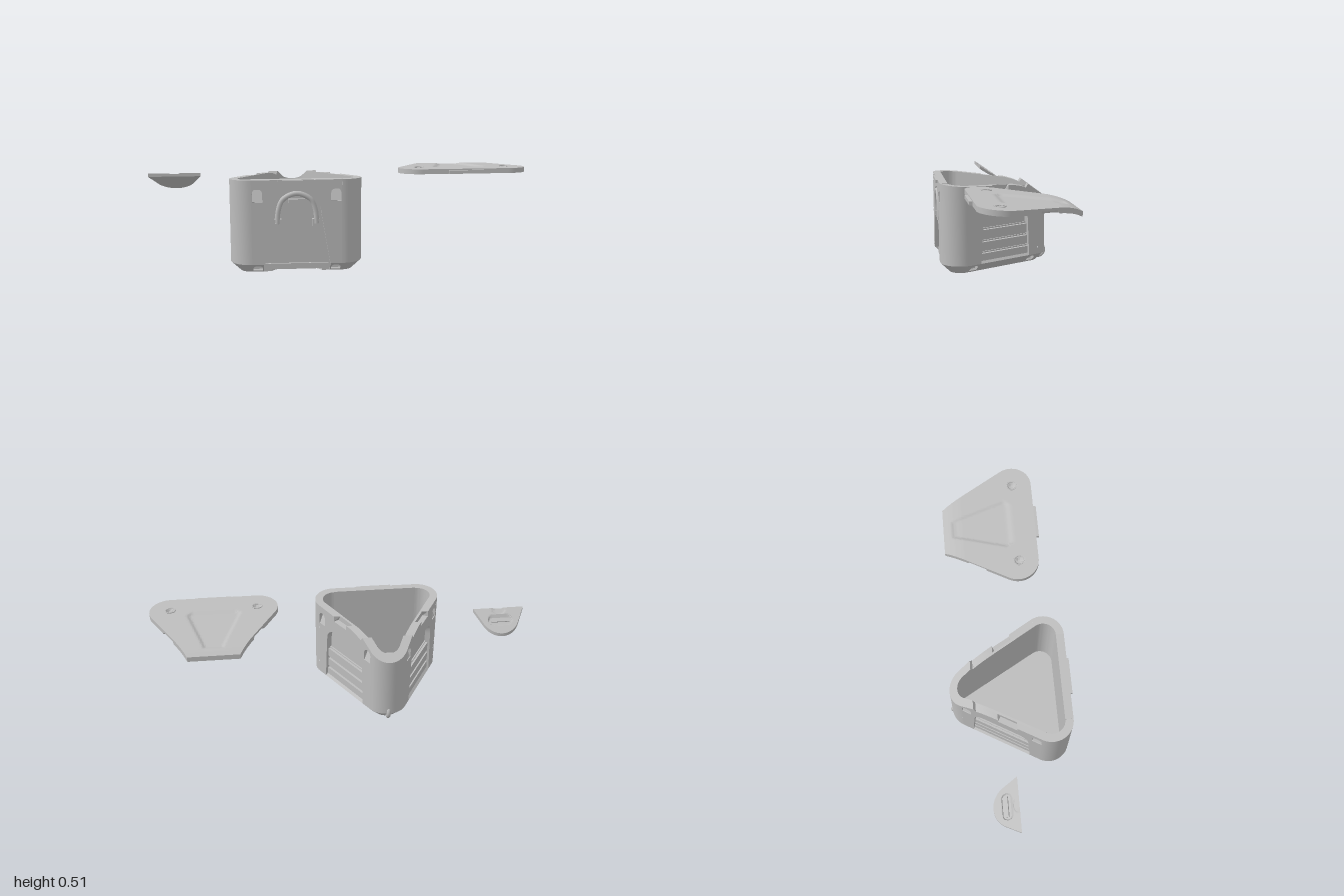
import * as THREE from 'three';
import { toCreasedNormals } from 'three/addons/utils/BufferGeometryUtils.js';

const grey = new THREE.MeshStandardMaterial({ color: 0xbdbdbd });
grey.name = 'light grey';

const R = 0.2427, CZ = 0.0673, HALF = 0.23, RAD = 0.11; // rounded triangle
const T120 = Math.PI * 2 / 3;

function add(parent, name, geo, x = 0, y = 0, z = 0) {
  const m = new THREE.Mesh(geo, grey);
  m.name = name;
  m.position.set(x, y, z);
  parent.add(m);
  return m;
}
const shapeOf = pts => new THREE.Shape(pts.map(p => new THREE.Vector2(p[0], p[1])));

// piecewise linear lookup, keys descending
function lerpTable(table, k) {
  for (let i = 0; i < table.length - 1; i++) {
    const [k0, v0] = table[i], [k1, v1] = table[i + 1];
    if (k >= k1 || i === table.length - 2) return v0 + (v1 - v0) * (k - k0) / (k1 - k0);
  }
}
// rim height along z: gentle slope, curved dip, then the steep rear seat
const RIM = [[0.31, 0.485], [-0.1, 0.46], [-0.15, 0.448], [-0.178, 0.436], [-0.19, 0.456], [-0.308, 0.37]];
const rimY = z => lerpTable(RIM, z);

function archHole(x, y0, y1, r) {
  const p = new THREE.Path();
  p.moveTo(x - r, y0);
  p.lineTo(x + r, y0);
  p.lineTo(x + r, y1 - r);
  p.absarc(x, y1 - r, r, 0, Math.PI, false);
  p.lineTo(x - r, y0);
  return p;
}

// flat wall layer between depths d0 and d1, with its rim kept level across the wall
function wallLayer(shape, d0, d1, a) {
  const g = new THREE.ExtrudeGeometry(shape, { depth: d1 - d0, bevelEnabled: false, curveSegments: 12 });
  g.translate(0, 0, R - d1);
  const p = g.attributes.position;
  for (let i = 0; i < p.count; i++) {
    const s = p.getX(i), y = p.getY(i), d = R - p.getZ(i);
    const zOuter = CZ + R * Math.cos(a) - s * Math.sin(a);
    if (a === 0 || y < rimY(zOuter) - 0.004) continue;
    if (Math.abs(s) < 0.2299) p.setX(i, s - d * Math.cos(a) / Math.sin(a));
    else p.setY(i, rimY(zOuter - d * Math.cos(a)));
  }
  return toCreasedNormals(g, 0.5);
}

function makeWall(a) {
  const wall = new THREE.Group();
  wall.name = a === 0 ? 'frontWall' : a > 0 ? 'leftWall' : 'rightWall';
  wall.rotation.y = a;
  const side = Math.sign(a);
  const toS = z => -side * (z + 0.054) / 0.866;

  // rim lines, with and without the finger notch
  let top, plainTop;
  if (side === 0) top = plainTop = [[-HALF, 0.485], [HALF, 0.485]];
  else {
    const pt = z => [toS(z), rimY(z)];
    const front = [[-side * HALF, rimY(0.145)]];
    const rear = [-0.1, -0.15, -0.178, -0.19].map(pt).concat([[side * HALF, rimY(-0.253)]]);
    const notch = [pt(0.025), [toS(0.025), 0.437], [toS(-0.07), 0.437], pt(-0.07)];
    top = front.concat(notch, rear);
    plainTop = front.concat(rear);
    if (side < 0) { top.reverse(); plainTop.reverse(); }
  }

  // recessed panel opening
  const half = [[0.17, 0.048]];
  if (side === 0) for (let i = 0; i <= 8; i++) {
    const t = i / 8 * Math.PI / 2;
    half.push([0.125 * Math.cos(t), 0.31 + 0.125 * Math.sin(t)]);
  } else half.push([0.156, 0.29], [0.15, 0.325], [0.135, 0.348], [0.112, 0.361], [0.085, 0.365]);
  const opening = half.concat(half.slice(0, side === 0 ? -1 : undefined).reverse().map(p => [-p[0], p[1]]));
  const outer = shapeOf([...top, [HALF, 0.048], ...opening, [-HALF, 0.048]]);

  // arched sockets with sloping floors
  for (const e of [-1, 1]) {
    const drop = side === 0 ? 0 : e === side ? 0.038 : 0.005;
    outer.holes.push(archHole(e * 0.2, 0.373 - drop, 0.441 - drop, 0.026));
    const ramp = add(wall, 'socketRamp', new THREE.BoxGeometry(0.051, 0.062, 0.004), e * 0.2, 0.402 - drop, R - 0.018);
    ramp.rotation.x = -0.4;
  }
  add(wall, 'outerWall', wallLayer(outer, 0, 0.03, a), 0, 0, 0);
  const low = side === 0 ? 0.02 : 0.04;
  add(wall, 'innerWall', wallLayer(shapeOf([...plainTop, [HALF, low], [-HALF, low]]), 0.03, 0.042, a));

  // chamfered foot with small arched holes
  const spans = side === 0 ? [[-HALF, -0.17], [0.17, HALF]] : [[-HALF, HALF]];
  for (const [s0, s1] of spans) {
    const foot = shapeOf([[s0, 0], [s1, 0], [s1, 0.0693], [s0, 0.0693]]);
    for (const s of [-0.2, 0.2]) if (s > s0 && s < s1) foot.holes.push(archHole(s, 0.012, 0.056, 0.024));
    const g = new THREE.ExtrudeGeometry(foot, { depth: 0.02, bevelEnabled: false });
    g.translate(0, 0, -0.02);
    add(wall, 'footChamfer', g, 0, 0, R - 0.05).rotation.x = Math.atan2(0.05, 0.048);
  }

  if (side !== 0) {
    // stepped slats
    for (const [y0, y1, w] of [[0.042, 0.1, 0.167], [0.117, 0.163, 0.163], [0.18, 0.23, 0.159]]) {
      add(wall, 'slat', new THREE.BoxGeometry(w * 2, y1 - y0, 0.018), 0, (y0 + y1) / 2, R - 0.021);
      add(wall, 'slatLip', new THREE.BoxGeometry(w * 2, 0.006, 0.008), 0, y1 + 0.006, R - 0.026);
    }
  } else {
    // arched handle, its feet, clasp and rim tab
    const pts = [[-0.1, 0.26], [-0.094, 0.33], [-0.07, 0.385], [0, 0.415], [0.07, 0.385], [0.094, 0.33], [0.1, 0.26]];
    const curve = new THREE.CatmullRomCurve3(pts.map(p => new THREE.Vector3(p[0], p[1], R - 0.006)));
    add(wall, 'handle', new THREE.TubeGeometry(curve, 40, 0.013, 10, false));
    for (const e of [-1, 1]) add(wall, 'handleFoot', new THREE.BoxGeometry(0.036, 0.04, 0.03), e * 0.096, 0.262, R - 0.015);
    add(wall, 'clasp', new THREE.BoxGeometry(0.085, 0.028, 0.022), 0, 0.37, R - 0.02);
    add(wall, 'bottomLedge', new THREE.BoxGeometry(0.325, 0.03, 0.014), 0, 0.033, R - 0.026);
    add(wall, 'rimTab', new THREE.BoxGeometry(0.19, 0.018, 0.012), 0, 0.475, R + 0.004);
  }
  return wall;
}

// rounded triangle in plan, optionally with a shallow arch cut in the front edge
function planSlab(r, y0, y1, arch) {
  const s = new THREE.Shape();
  for (let k = 0; k < 3; k++) {
    const c = Math.PI / 3 + k * T120;
    const cx = 0.2656 * Math.sin(c), cz = 0.2656 * Math.cos(c);
    for (let i = 0; i <= 10; i++) {
      const t = k * T120 + i / 10 * T120;
      const x = cx + r * Math.sin(t), y = -(cz + r * Math.cos(t));
      k + i === 0 ? s.moveTo(x, y) : s.lineTo(x, y);
    }
  }
  if (arch) {
    const y = -(R - RAD + r);
    s.lineTo(-0.13, y);
    s.bezierCurveTo(-0.09, y + 0.1, 0.09, y + 0.1, 0.13, y);
  }
  const g = new THREE.ExtrudeGeometry(s, { depth: y1 - y0, bevelEnabled: false });
  g.rotateX(-Math.PI / 2);
  return g.translate(0, y0, 0);
}

function makeBody() {
  const body = new THREE.Group();
  body.name = 'body';
  body.position.set(-0.23, 0, CZ);
  for (const a of [0, T120, -T120]) body.add(makeWall(a));
  // rounded corners
  for (let k = 0; k < 3; k++) {
    const c = Math.PI / 3 + k * T120;
    const profile = [[0.06, 0], [RAD, 0.048], [RAD, 0.5], [0.068, 0.5], [0.068, 0.03]].map(p => new THREE.Vector2(...p));
    const g = new THREE.LatheGeometry(profile, 20, k * T120, T120);
    g.translate(0.2656 * Math.sin(c), 0, 0.2656 * Math.cos(c));
    const p = g.attributes.position;
    for (let i = 0; i < p.count; i++) if (p.getY(i) > 0.4) p.setY(i, rimY(p.getZ(i) + CZ));
    add(body, 'corner', toCreasedNormals(g, 0.5));
  }
  add(body, 'base', planSlab(0.06, 0, 0.046, true));
  add(body, 'floor', planSlab(0.072, 0.045, 0.06, false));
  // loop at the rear foot
  add(body, 'rearLoop', new THREE.TorusGeometry(0.034, 0.011, 12, 32), 0, 0.05, -0.274 - CZ).rotation.y = Math.PI / 2;
  return body;
}

// slab from rows of [z, half width]; dent(x, z) lowers the top, lift(x, z, w) raises the underside
function loft(rows, top, thick, dent, lift, nx) {
  const n = rows.length - 1;
  const g = new THREE.BoxGeometry(1, 1, 1, nx, 1, n);
  const p = g.attributes.position;
  for (let i = 0; i < p.count; i++) {
    const [z, w] = rows[Math.round((p.getZ(i) + 0.5) * n)];
    const x = p.getX(i) * 2 * w;
    const y = p.getY(i) > 0 ? top(z) - dent(x, z) : top(z) - thick + lift(x, z, w);
    p.setXYZ(i, x, y, z);
  }
  return toCreasedNormals(g, 0.45);
}
const ramp = THREE.MathUtils.smoothstep;

function makeLid() {
  const lid = new THREE.Group();
  lid.name = 'lid';
  lid.position.x = 0.66;
  const rows = [];
  for (let i = 0; i <= 20; i++) {
    const t = i / 20 * T120;
    rows.push([0.11 + RAD * Math.cos(t), HALF + RAD * Math.sin(t)]);
  }
  const [z0, w0] = rows[20];
  for (let i = 1; i <= 44; i++) {
    const z = z0 + (-0.28 - z0) * i / 44;
    rows.push([z, w0 + (z - z0) * 0.577]);
  }
  rows.reverse();
  const profile = [[0.22, 0.515], [-0.18, 0.489], [-0.22, 0.482], [-0.25, 0.473], [-0.28, 0.459]];
  const dent = (x, z) => {
    const ax = Math.abs(x);
    // tapered hollow and two countersunk holes
    const edge = Math.min(0.055 + (z + 0.24) * 0.31 - ax, z + 0.24, 0.095 - z, 0.21 - ax - z);
    const hole = Math.hypot(ax - 0.23, z - 0.115);
    return 0.01 * ramp(edge, 0, 0.025) + 0.014 * (1 - ramp(hole, 0.014, 0.024));
  };
  const lift = (x, z, w) => (Math.abs(x) > w - 0.03 && z < -0.06 && z > -0.155 ? 0.014 : 0);
  add(lid, 'lidPlate', loft(rows, z => lerpTable(profile, z), 0.026, dent, lift, 96));
  for (const e of [-1, 1]) {
    const ring = add(lid, 'holeRing', new THREE.TorusGeometry(0.026, 0.003, 6, 32), e * 0.23, 0.508, 0.115);
    ring.rotation.x = Math.PI / 2 + 0.064;
  }
  add(lid, 'lidTab', new THREE.BoxGeometry(0.185, 0.018, 0.016), 0, 0.5, 0.227);
  return lid;
}

function makeRearCap() {
  const cap = new THREE.Group();
  cap.name = 'rearCap';
  cap.position.x = -0.865;
  const rows = [];
  for (let i = 0; i <= 24; i++) {
    const t = Math.max(i / 24 * Math.PI / 3, 0.02);
    rows.push([-0.018 - RAD * Math.cos(t), RAD * Math.sin(t)]);
  }
  const [z0, w0] = rows[24];
  for (let i = 1; i <= 16; i++) rows.push([z0 * (1 - i / 16), w0 - z0 * 0.577 * i / 16]);
  const dent = (x, z) => {
    // finger slot and small scallop near the straight edge
    const slot = Math.hypot(Math.max(Math.abs(x) - 0.04, 0), z + 0.06);
    const scallop = Math.hypot(x / 2, z + 0.012);
    return 0.012 * (1 - ramp(slot, 0.02, 0.027)) + 0.005 * (1 - ramp(scallop, 0.014, 0.02));
  };
  add(cap, 'capPlate', loft(rows, z => 0.48 + 0.66 * z, 0.018, dent, () => 0, 64));
  add(cap, 'capGrip', new THREE.BoxGeometry(0.1, 0.007, 0.014), 0, 0.434, -0.06).rotation.x = -0.58;
  return cap;
}

export function createModel() {
  const model = new THREE.Group();
  model.name = 'triangularContainer';
  model.add(makeBody(), makeLid(), makeRearCap());
  return model;
}
